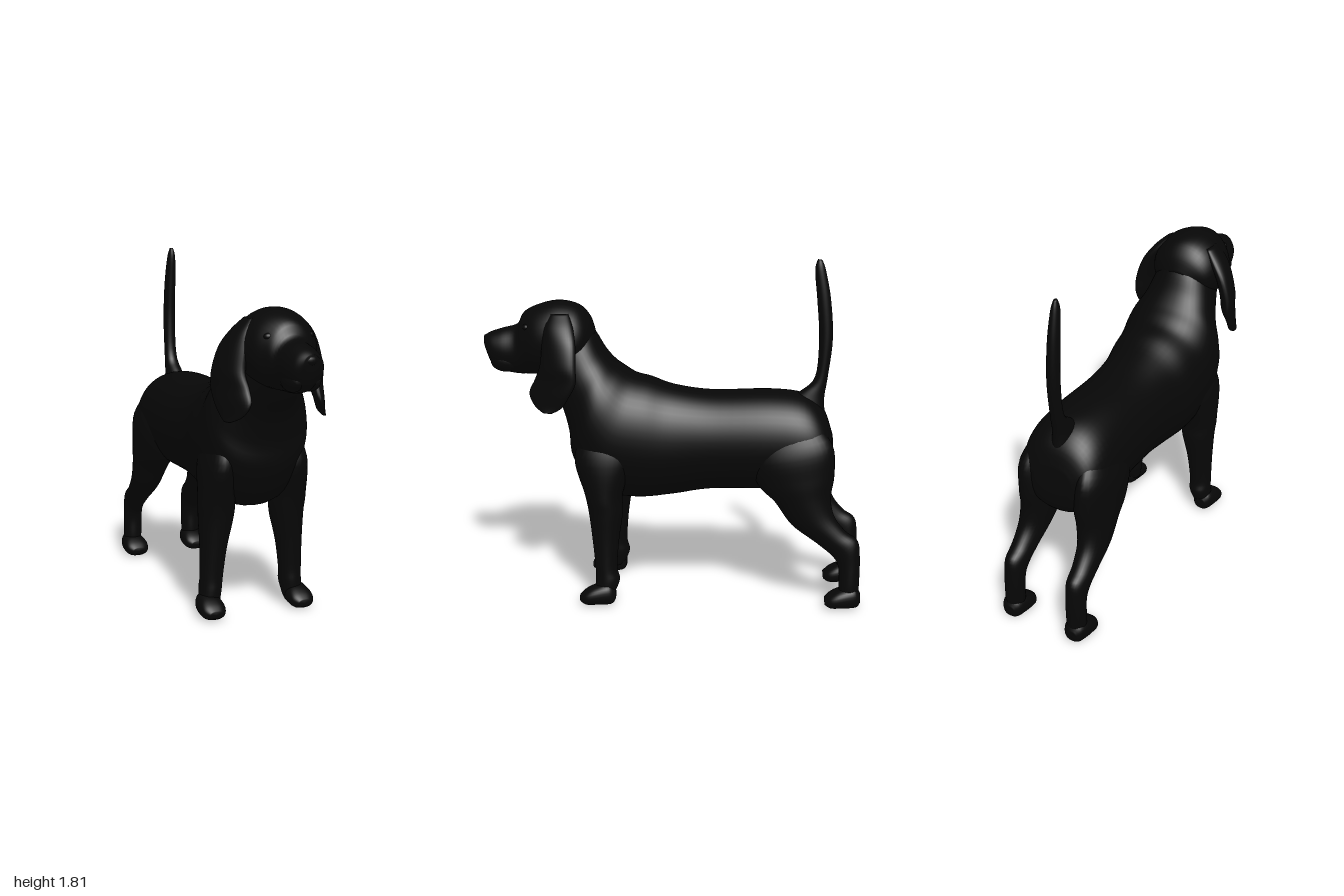
import * as THREE from 'three';

const coat = new THREE.MeshStandardMaterial({ color: 0x070707 });
coat.name = 'blackCoat';

// Smooth interpolation of one value through four neighbours
const spline = (a, b, c, d, t) =>
  0.5 * (2 * b + (c - a) * t + (2 * a - 5 * b + 4 * c - d) * t * t + (3 * b - a - 3 * c + d) * t * t * t);

// Closed skin through rings [z1, y1, z2, y2, halfWidth, x, lean]: two opposite
// points of each ring in the side profile, its half width, its x centre and
// the sideways shift of the first point.
function loft(name, rings, { side = 1, x = 0, z = 0, width = 1, power = 1, around = 32, steps = 5 } = {}) {
  const rows = [];
  const at = (i) => rings[Math.min(Math.max(i, 0), rings.length - 1)];
  for (let i = 0; i < rings.length - 1; i++)
    for (let s = 0; s < steps; s++)
      rows.push([0, 1, 2, 3, 4, 5, 6].map((k) =>
        spline(at(i - 1)[k] ?? 0, at(i)[k] ?? 0, at(i + 1)[k] ?? 0, at(i + 2)[k] ?? 0, s / steps)));
  rows.push(rings[rings.length - 1]);
  const pos = [], index = [];
  const soft = (v) => Math.sign(v) * Math.abs(v) ** power;
  for (const [z1, y1, z2, y2, w, cx = 0, lean = 0] of rows)
    for (let j = 0; j < around; j++) {
      const a = (j / around) * Math.PI * 2, c = soft(Math.cos(a)), s = soft(Math.sin(a));
      pos.push(side * (cx + x + lean * s) + w * width * c,
        (y1 + y2) / 2 + ((y1 - y2) / 2) * s, z + (z1 + z2) / 2 + ((z1 - z2) / 2) * s);
    }
  for (let i = 0; i < rows.length - 1; i++)
    for (let j = 0; j < around; j++) {
      const k = (j + 1) % around, a = i * around + j, b = i * around + k;
      index.push(a, b, b + around, a, b + around, a + around);
    }
  // End caps
  const n = rows.length * around, last = n - around;
  for (const r of [rows[0], rows[rows.length - 1]])
    pos.push(side * ((r[5] ?? 0) + x), (r[1] + r[3]) / 2, z + (r[0] + r[2]) / 2);
  for (let j = 0; j < around; j++) {
    const k = (j + 1) % around;
    index.push(n, k, j, n + 1, last + j, last + k);
  }
  const geo = new THREE.BufferGeometry();
  geo.setAttribute('position', new THREE.Float32BufferAttribute(pos, 3));
  geo.setIndex(index);
  geo.computeVertexNormals();
  const mesh = new THREE.Mesh(geo, coat);
  mesh.name = name;
  return mesh;
}

function ellipsoid(name, p, r) {
  const mesh = new THREE.Mesh(new THREE.SphereGeometry(1, 20, 14), coat);
  mesh.position.set(...p);
  mesh.scale.set(...r);
  mesh.name = name;
  return mesh;
}

// Rump, back, chest and neck
const BODY = [
  [-0.825, 0.92, -0.838, 0.78, 0.1], [-0.78, 1.03, -0.815, 0.67, 0.185],
  [-0.68, 1.105, -0.71, 0.61, 0.228], [-0.5, 1.125, -0.5, 0.60, 0.235],
  [-0.2, 1.115, -0.2, 0.59, 0.228], [0, 1.14, 0, 0.555, 0.235],
  [0.12, 1.18, 0.2, 0.535, 0.262], [0.2, 1.2, 0.42, 0.575, 0.275],
  [0.26, 1.235, 0.53, 0.75, 0.272], [0.31, 1.27, 0.55, 0.9, 0.25],
  [0.36, 1.33, 0.59, 1.03, 0.205], [0.42, 1.43, 0.66, 1.14, 0.17],
  [0.5, 1.5, 0.7, 1.22, 0.15],
];
// Skull and muzzle
const HEAD = [
  [0.41, 1.42, 0.44, 1.29, 0.08], [0.44, 1.50, 0.48, 1.24, 0.15],
  [0.5, 1.56, 0.54, 1.2, 0.185], [0.6, 1.58, 0.62, 1.19, 0.195],
  [0.7, 1.56, 0.71, 1.19, 0.175], [0.78, 1.52, 0.77, 1.19, 0.13],
  [0.82, 1.455, 0.82, 1.19, 0.105], [0.9, 1.43, 0.9, 1.205, 0.097],
  [0.96, 1.41, 0.955, 1.24, 0.078], [0.997, 1.39, 0.985, 1.31, 0.04],
];
const TAIL = [
  [-0.79, 1.0, -0.58, 1.06, 0.06], [-0.785, 1.09, -0.66, 1.12, 0.045],
  [-0.80, 1.2, -0.735, 1.2, 0.034], [-0.82, 1.4, -0.75, 1.4, 0.032],
  [-0.805, 1.6, -0.735, 1.6, 0.03], [-0.775, 1.75, -0.72, 1.75, 0.022],
  [-0.755, 1.805, -0.732, 1.808, 0.009],
];
// Ears turn in towards the cheeks at their front edge
const EAR = [
  [0.62, 1.53, 0.53, 1.53, 0.02, 0.125, 0], [0.65, 1.47, 0.5, 1.47, 0.04, 0.165, -0.01],
  [0.66, 1.39, 0.48, 1.39, 0.045, 0.205, -0.025], [0.67, 1.28, 0.475, 1.28, 0.045, 0.232, -0.035],
  [0.70, 1.2, 0.475, 1.2, 0.04, 0.23, -0.045], [0.73, 1.13, 0.51, 1.13, 0.03, 0.232, -0.045],
  [0.70, 1.07, 0.55, 1.07, 0.02, 0.242, -0.025], [0.65, 1.04, 0.6, 1.04, 0.008, 0.26, -0.005],
];
const FRONT_LEG = [
  [0.42, 0.98, 0.24, 0.98, 0.04, 0.175], [0.5, 0.8, 0.2, 0.8, 0.085, 0.197],
  [0.45, 0.6, 0.25, 0.6, 0.095, 0.198], [0.43, 0.5, 0.25, 0.5, 0.09, 0.198],
  [0.41, 0.35, 0.27, 0.35, 0.07, 0.212], [0.395, 0.2, 0.28, 0.2, 0.06, 0.222],
  [0.395, 0.13, 0.267, 0.13, 0.059, 0.226], [0.39, 0.05, 0.3, 0.05, 0.052, 0.235],
];
const HIND_LEG = [
  [-0.5, 0.99, -0.72, 1.01, 0.05, 0.135], [-0.42, 0.8, -0.83, 0.88, 0.09, 0.163],
  [-0.45, 0.66, -0.845, 0.72, 0.1, 0.16], [-0.54, 0.57, -0.83, 0.6, 0.09, 0.165],
  [-0.63, 0.45, -0.85, 0.5, 0.073, 0.175], [-0.76, 0.355, -0.91, 0.42, 0.06, 0.18],
  [-0.85, 0.28, -0.975, 0.37, 0.055, 0.182], [-0.88, 0.22, -0.99, 0.27, 0.052, 0.183],
  [-0.885, 0.12, -0.99, 0.12, 0.052, 0.185], [-0.89, 0.04, -0.985, 0.04, 0.045, 0.185],
];
const PAW = [
  [0.287, 0.08, 0.287, 0.03, 0.025], [0.32, 0.12, 0.31, 0.005, 0.052],
  [0.39, 0.105, 0.39, 0, 0.066], [0.44, 0.08, 0.44, 0, 0.062], [0.475, 0.05, 0.47, 0.015, 0.035],
];

export function createModel() {
  const dog = new THREE.Group();
  dog.name = 'dog';
  dog.add(
    loft('body', BODY, { power: 0.93, around: 48 }),
    loft('head', HEAD, { around: 40 }),
    loft('tail', TAIL),
    ellipsoid('nose', [0, 1.365, 0.965], [0.042, 0.032, 0.035]),
  );
  // Mirrored parts
  for (const side of [1, -1]) {
    const label = side > 0 ? 'left' : 'right';
    dog.add(
      loft(label + 'Ear', EAR, { side }),
      loft(label + 'FrontLeg', FRONT_LEG, { side }),
      loft(label + 'FrontPaw', PAW, { side, x: 0.248, power: 0.85 }),
      loft(label + 'HindLeg', HIND_LEG, { side }),
      loft(label + 'HindPaw', PAW, { side, x: 0.187, z: -1.285, width: 1.05, power: 0.85 }),
      ellipsoid(label + 'Lip', [side * 0.045, 1.265, 0.875], [0.048, 0.06, 0.085]),
      ellipsoid(label + 'Eye', [side * 0.105, 1.455, 0.752], [0.026, 0.018, 0.02]),
    );
  }
  return dog;
}
